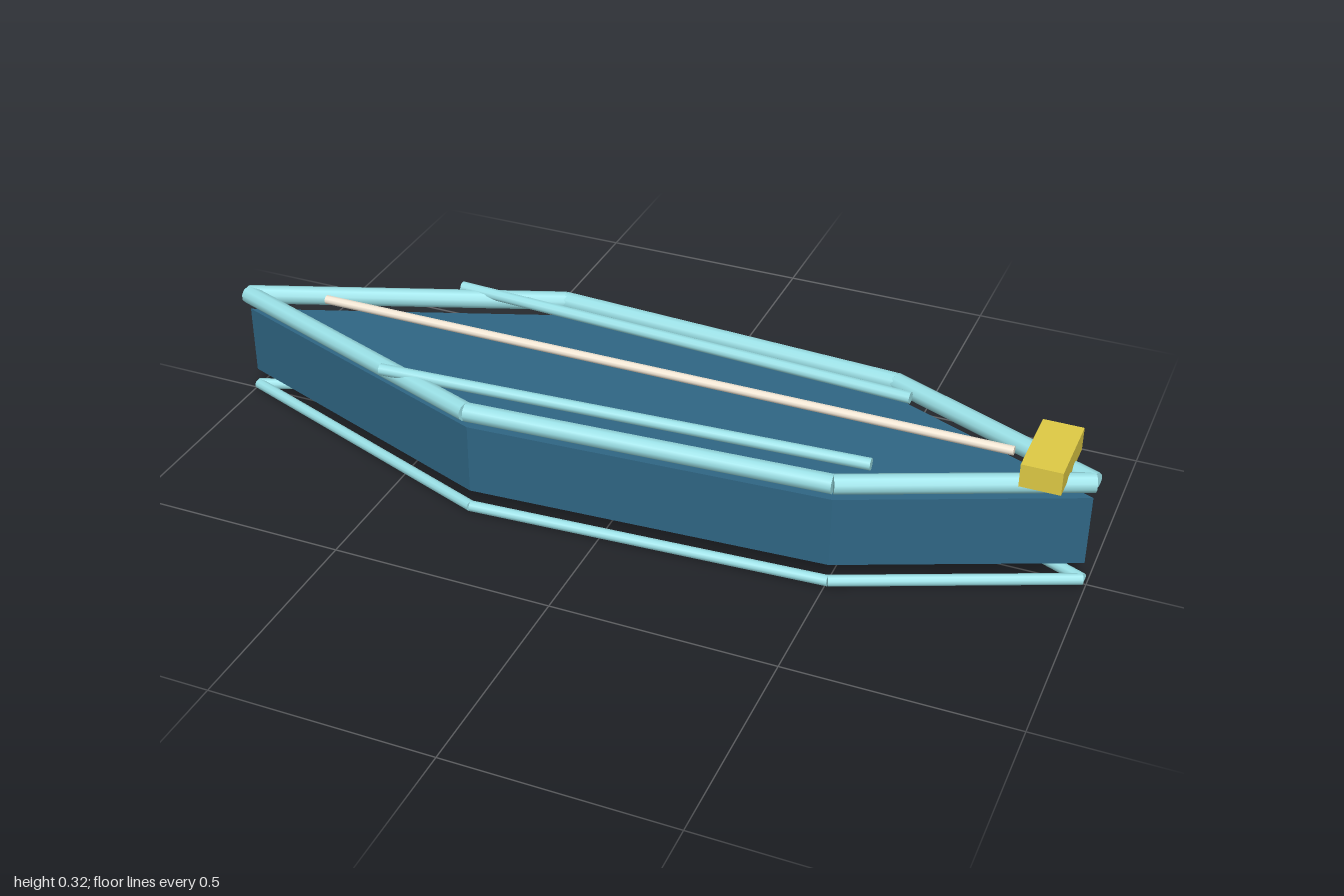
import * as THREE from 'three';

// Half outline of the hull: [x, half width], bow to stern
const OUTLINE = [[-0.992, 0], [-0.3, 0.258], [0.505, 0.212], [0.991, 0]];

const mat = (color) => new THREE.MeshStandardMaterial({ color });

// Straight tube between two points
function rod(name, a, b, radius, material) {
  const dir = b.clone().sub(a);
  const mesh = new THREE.Mesh(new THREE.CylinderGeometry(radius, radius, dir.length(), 10), material);
  mesh.position.copy(a).add(b).multiplyScalar(0.5);
  mesh.quaternion.setFromUnitVectors(new THREE.Vector3(0, 1, 0), dir.normalize());
  mesh.name = name;
  return mesh;
}

// Ring of tubes following the outline on both sides
function railRing(name, y, radius, material) {
  const ring = new THREE.Group();
  ring.name = name;
  for (const side of [1, -1]) {
    for (let i = 0; i < OUTLINE.length - 1; i++) {
      const [a, b] = [OUTLINE[i], OUTLINE[i + 1]].map(([x, z]) => new THREE.Vector3(x, y, z * side));
      ring.add(rod('railSegment', a, b, radius, material));
    }
  }
  return ring;
}

export function createModel() {
  const model = new THREE.Group();
  model.name = 'boat';
  const hullMat = mat(0x2f6684);
  const railMat = mat(0x99dfe5);
  const sparMat = mat(0xf0e4d2);
  const boxMat = mat(0xdfcb45);

  // Hull: outline extruded upwards
  const points = [
    ...OUTLINE.map(([x, z]) => new THREE.Vector2(x, -z)),
    ...OUTLINE.slice(1, -1).reverse().map(([x, z]) => new THREE.Vector2(x, z)),
  ];
  const hullGeo = new THREE.ExtrudeGeometry(new THREE.Shape(points), { depth: 0.164, bevelEnabled: false });
  hullGeo.rotateX(-Math.PI / 2);
  const hull = new THREE.Mesh(hullGeo, hullMat);
  hull.position.y = 0.053;
  hull.name = 'hull';
  model.add(hull);

  // Thick upper rail and thin lower rail
  model.add(railRing('upperRail', 0.256, 0.0215, railMat));
  model.add(railRing('lowerRail', 0.0125, 0.0125, railMat));

  // Inner side rails
  for (const side of [1, -1]) {
    model.add(rod(side > 0 ? 'frontInnerRail' : 'backInnerRail',
      new THREE.Vector3(-0.537, 0.272, 0.198 * side),
      new THREE.Vector3(0.56, 0.272, 0.137 * side), 0.0135, railMat));
  }

  // Centre spar
  model.add(rod('centreSpar', new THREE.Vector3(-0.783, 0.288, 0),
    new THREE.Vector3(0.82, 0.288, 0), 0.0105, sparMat));

  // End block
  const block = new THREE.Mesh(new THREE.BoxGeometry(0.087, 0.053, 0.181), boxMat);
  block.position.set(0.897, 0.2935, 0);
  block.name = 'endBlock';
  model.add(block);

  return model;
}
